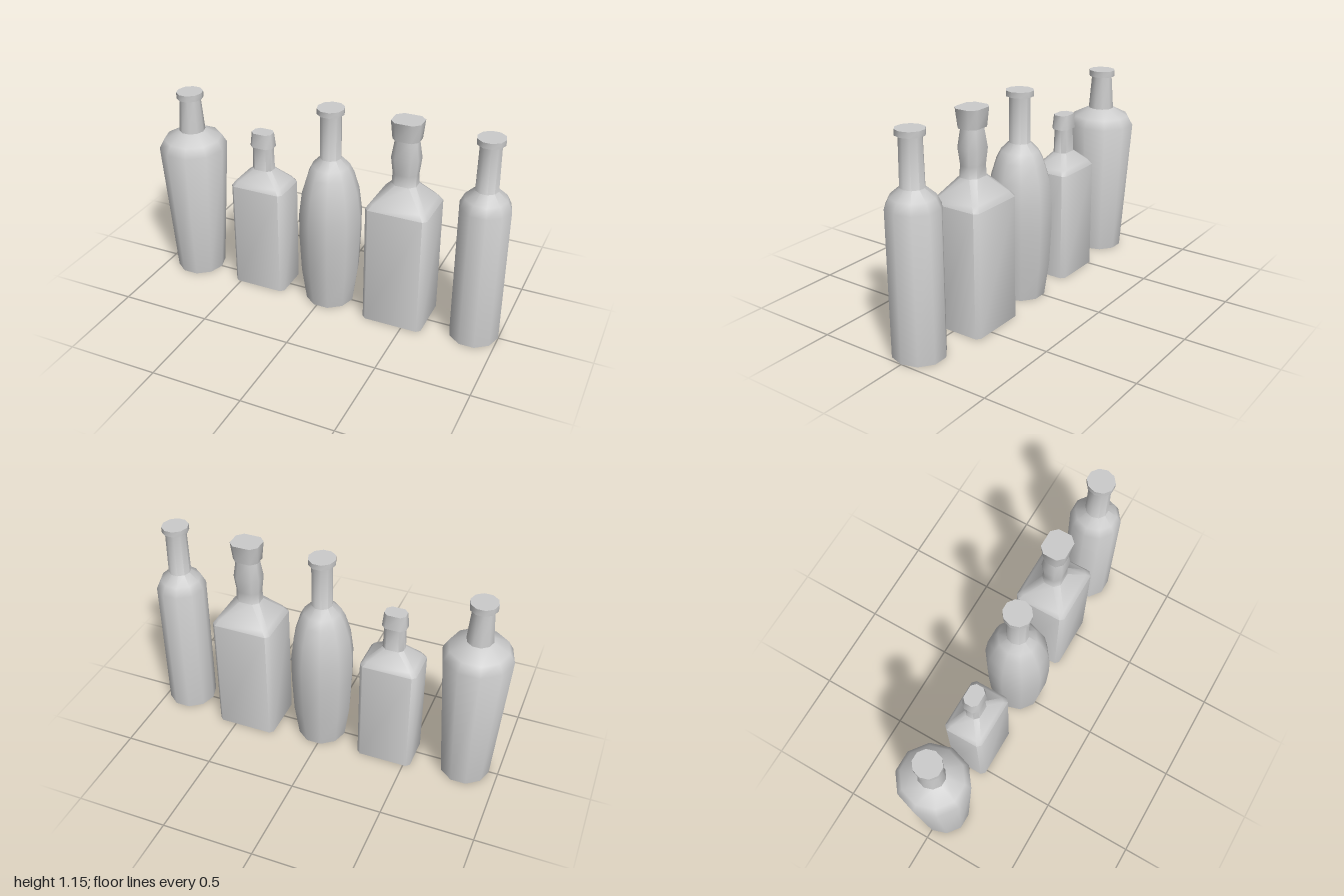
import * as THREE from 'three';
import { toCreasedNormals } from 'three/addons/utils/BufferGeometryUtils.js';

const material = new THREE.MeshStandardMaterial({ color: 0xcccccc });

// Skin a stack of equal-length rings (counter-clockwise seen from above), closed at both ends
function loft(rings) {
  const n = rings[0].length;
  const pos = rings.flat(2);
  const index = [];
  for (let i = 0; i < rings.length - 1; i++) {
    for (let j = 0; j < n; j++) {
      const k = (j + 1) % n;
      const a = i * n + j, b = i * n + k, c = b + n, d = a + n;
      index.push(a, b, c, a, c, d);
    }
  }
  const top = (rings.length - 1) * n;
  for (let j = 1; j < n - 1; j++) {
    index.push(0, j + 1, j, top, top + j, top + j + 1);
  }
  const geometry = new THREE.BufferGeometry();
  geometry.setAttribute('position', new THREE.Float32BufferAttribute(pos, 3));
  geometry.setIndex(index);
  return toCreasedNormals(geometry, 0.9);
}

// Ten-sided ring, stretched in z so that its width and depth match
function roundRing([y, r]) {
  return Array.from({ length: 10 }, (_, i) => {
    const a = (i / 10) * Math.PI * 2;
    return [r * Math.cos(a), y, -r * 1.05 * Math.sin(a)];
  });
}

// Rectangular ring with cut corners
function squareRing([y, x, z, c]) {
  return [
    [x, y, z - c], [x, y, c - z], [x - c, y, -z], [c - x, y, -z],
    [-x, y, c - z], [-x, y, z - c], [c - x, y, z], [x - c, y, z],
  ];
}

function bottle(name, x, z, ring, glass, stopper) {
  const group = new THREE.Group();
  group.name = name;
  group.position.set(x, 0, z);
  for (const [part, profile] of [['glass', glass], ['stopper', stopper]]) {
    const mesh = new THREE.Mesh(loft(profile.map(ring)), material);
    mesh.name = part;
    group.add(mesh);
  }
  return group;
}

export function createModel() {
  const model = new THREE.Group();
  model.name = 'bottles';

  model.add(
    // Tapered bottle with broad shoulders
    bottle('taperedBottle', -0.816, 0, roundRing,
      [[0, 0.135], [0.77, 0.185], [0.82, 0.157], [0.865, 0.07], [1.055, 0.056]],
      [[1.055, 0.072], [1.09, 0.072]]),

    // Small rectangular bottle
    bottle('smallSquareBottle', -0.382, -0.017, squareRing,
      [[0, 0.154, 0.111, 0.02], [0.615, 0.154, 0.111, 0.02], [0.642, 0.134, 0.095, 0.02],
        [0.71, 0.057, 0.042, 0.022], [0.845, 0.054, 0.039, 0.022]],
      [[0.845, 0.065, 0.049, 0.025], [0.925, 0.057, 0.042, 0.022]]),

    // Barrel-shaped bottle
    bottle('bulgingBottle', 0.024, -0.005, roundRing,
      [[0, 0.134], [0.19, 0.16], [0.4, 0.17], [0.54, 0.171], [0.67, 0.155],
        [0.77, 0.125], [0.82, 0.1], [0.865, 0.057], [1.115, 0.056]],
      [[1.115, 0.073], [1.145, 0.073]]),

    // Large rectangular bottle with a swelling neck
    bottle('largeSquareBottle', 0.438, -0.016, squareRing,
      [[0, 0.168, 0.147, 0.02], [0.675, 0.168, 0.147, 0.02], [0.705, 0.148, 0.128, 0.022],
        [0.8, 0.066, 0.055, 0.028], [0.86, 0.064, 0.053, 0.028], [0.945, 0.073, 0.061, 0.03],
        [1.05, 0.058, 0.047, 0.025]],
      [[1.05, 0.07, 0.06, 0.03], [1.15, 0.079, 0.069, 0.032]]),

    // Slim cylindrical bottle
    bottle('slimBottle', 0.866, 0, roundRing,
      [[0, 0.134], [0.77, 0.134], [0.82, 0.11], [0.865, 0.06], [1.115, 0.056]],
      [[1.115, 0.072], [1.145, 0.072]]),
  );
  return model;
}
